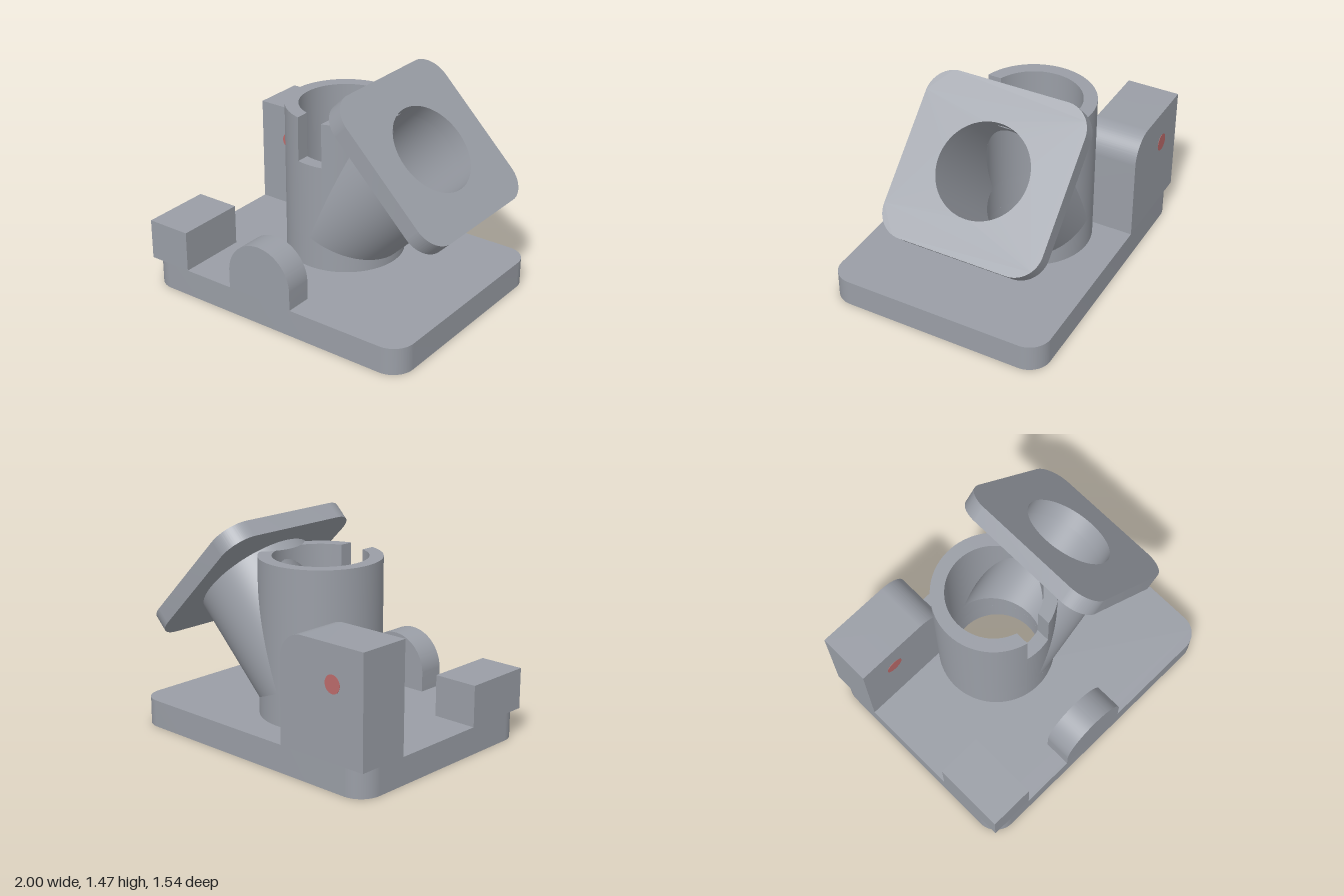
import * as THREE from 'three';
import { toCreasedNormals } from 'three/addons/utils/BufferGeometryUtils.js';

const CX = -0.08, CZ = -0.155, CY = 0.402;      // where the two pipe axes meet
const R_OUT = 0.4, R_IN = 0.31;
const BASE_H = 0.185, TUBE_TOP = 1.23, SLOT_Y = 0.925, SLOT_HALF = 0.093;
const PIPE_LEN = 0.838, FLANGE_T = 0.117;
const STEEP = Math.tan(Math.PI * 3 / 8), SHALLOW = Math.tan(Math.PI / 8); // mitre slopes

const gray = new THREE.MeshStandardMaterial({ color: 0x9a9ea6, side: THREE.DoubleSide });
gray.name = 'machined gray';
const red = new THREE.MeshStandardMaterial({ color: 0xbc6b6b });
red.name = 'marker red';

function add(parent, name, geometry, material = gray) {
  const mesh = new THREE.Mesh(geometry, material);
  mesh.name = name;
  parent.add(mesh);
  return mesh;
}

// Ruled surface: edge(t) returns the two end points of each rung
function ruled(edge, from, to, segments) {
  const pos = [], index = [];
  for (let i = 0; i <= segments; i++) {
    const [a, b] = edge(from + (to - from) * i / segments);
    pos.push(...a, ...b);
    const k = 2 * i;
    if (i < segments) index.push(k, k + 1, k + 2, k + 1, k + 3, k + 2);
  }
  const g = new THREE.BufferGeometry();
  g.setAttribute('position', new THREE.Float32BufferAttribute(pos, 3));
  g.setIndex(index);
  return toCreasedNormals(g, 0.6);
}

function roundedRect(w, h, r) {
  const s = new THREE.Shape(), x = w / 2 - r, y = h / 2 - r;
  s.absarc(x, y, r, 0, Math.PI / 2);
  s.absarc(-x, y, r, Math.PI / 2, Math.PI);
  s.absarc(-x, -y, r, Math.PI, Math.PI * 1.5);
  s.absarc(x, -y, r, Math.PI * 1.5, Math.PI * 2);
  s.closePath();
  return s;
}

function addHole(shape, x, y) {
  const hole = new THREE.Path();
  hole.absarc(x, y, R_IN, 0, Math.PI * 2, true);
  shape.holes.push(hole);
  return shape;
}

const extrude = (shape, depth) => toCreasedNormals(
  new THREE.ExtrudeGeometry(shape, { depth, bevelEnabled: false, curveSegments: 40 }), 0.6);

function buildTube() {
  const tube = new THREE.Group();
  tube.name = 'uprightTube';
  tube.position.set(CX, 0, CZ);
  const at = (r, t, y) => [r * Math.cos(t), y, r * Math.sin(t)];
  const Q = Math.PI / 2;

  // Walls, cut along the mitre planes where the branch pipe joins
  for (const [name, r] of [['tubeOuterWall', R_OUT], ['tubeBore', R_IN]]) {
    const d = Math.asin(SLOT_HALF / r);
    const open = t => Math.max(0, r * Math.cos(t));
    const arcs = [[Q + d, 5 * Q - d, TUBE_TOP, 120], [Q - d, Q + d, SLOT_Y, 12]];
    for (const [from, to, top, n] of arcs) {
      add(tube, name, ruled(t => [at(r, t, BASE_H), at(r, t, CY - SHALLOW * open(t))], from, to, n));
      add(tube, name, ruled(t => [at(r, t, Math.min(top, CY + STEEP * open(t))), at(r, t, top)], from, to, n));
    }
  }

  // Rim, slot floor and slot cheeks
  const dIn = Math.asin(SLOT_HALF / R_IN), dOut = Math.asin(SLOT_HALF / R_OUT);
  const ring = (y, from, to) => k => [R_IN, R_OUT].map((r, i) => {
    const a = from[i] + (to[i] - from[i]) * k;
    return at(r, a, y);
  });
  const left = [Q + dIn, Q + dOut], right = [Q - dIn, Q - dOut];
  add(tube, 'tubeRim', ruled(ring(TUBE_TOP, left, right.map(a => a + 4 * Q)), 0, 1, 120));
  add(tube, 'slotFloor', ruled(ring(SLOT_Y, right, left), 0, 1, 12));
  const zIn = R_IN * Math.cos(dIn), zOut = R_OUT * Math.cos(dOut);
  for (const x of [-SLOT_HALF, SLOT_HALF]) {
    add(tube, 'slotCheek', ruled(y => [[x, y, zIn], [x, y, zOut]], SLOT_Y, TUBE_TOP, 1));
  }
  return tube;
}

function buildBranch() {
  // Local z runs along the pipe, tilted 45 degrees up toward +x
  const branch = new THREE.Group();
  branch.name = 'branchPipe';
  const h = Math.SQRT1_2;
  branch.quaternion.setFromRotationMatrix(new THREE.Matrix4().makeBasis(
    new THREE.Vector3(0, 0, -1), new THREE.Vector3(-h, h, 0), new THREE.Vector3(h, h, 0)));
  branch.position.set(CX, CY, CZ);

  const topLimit = (TUBE_TOP - CY) * Math.SQRT2;
  const start = a => a > 0 ? Math.min(STEEP * a, topLimit - a) : -SHALLOW * a;
  for (const [name, r] of [['branchOuterWall', R_OUT], ['branchBore', R_IN]]) {
    add(branch, name, ruled(t => {
      const x = r * Math.sin(t), y = r * Math.cos(t);
      return [[x, y, start(y)], [x, y, PIPE_LEN]];
    }, 0, Math.PI * 2, 144));
  }
  const flange = addHole(roundedRect(1.105, 1.105, 0.18), 0, 0);
  add(branch, 'flange', extrude(flange, FLANGE_T)).position.z = PIPE_LEN;
  return branch;
}

export function createModel() {
  const model = new THREE.Group();
  model.name = 'pipeBracket';

  // Base plate with through hole
  const plate = addHole(roundedRect(2, 1.54, 0.15), CX, -CZ);
  add(model, 'basePlate', extrude(plate, BASE_H)).rotation.x = -Math.PI / 2;

  model.add(buildTube(), buildBranch());

  // Tall back block with one rounded top corner
  const tall = new THREE.Shape();
  tall.moveTo(-1, BASE_H);
  tall.lineTo(-0.325, BASE_H);
  tall.absarc(-0.505, 0.745, 0.18, 0, Math.PI / 2);
  tall.lineTo(-1, 0.925);
  tall.closePath();
  add(model, 'tallBlock', extrude(tall, 0.365)).position.z = -0.77;

  // Round marker showing on both faces of the tall block
  const marker = add(model, 'marker', new THREE.CylinderGeometry(0.06, 0.06, 0.369, 40), red);
  marker.rotation.x = Math.PI / 2;
  marker.position.set(-0.757, 0.678, -0.5875);

  // Low front block
  add(model, 'lowBlock', new THREE.BoxGeometry(0.31, 0.277, 0.49)).position.set(-0.845, BASE_H + 0.1385, 0.525);

  // Round-topped front lug
  const lug = new THREE.Shape();
  lug.moveTo(CX - 0.245, BASE_H);
  lug.lineTo(CX + 0.245, BASE_H);
  lug.absarc(CX, 0.31, 0.245, 0, Math.PI);
  lug.closePath();
  add(model, 'frontLug', extrude(lug, 0.185)).position.z = 0.585;

  return model;
}
